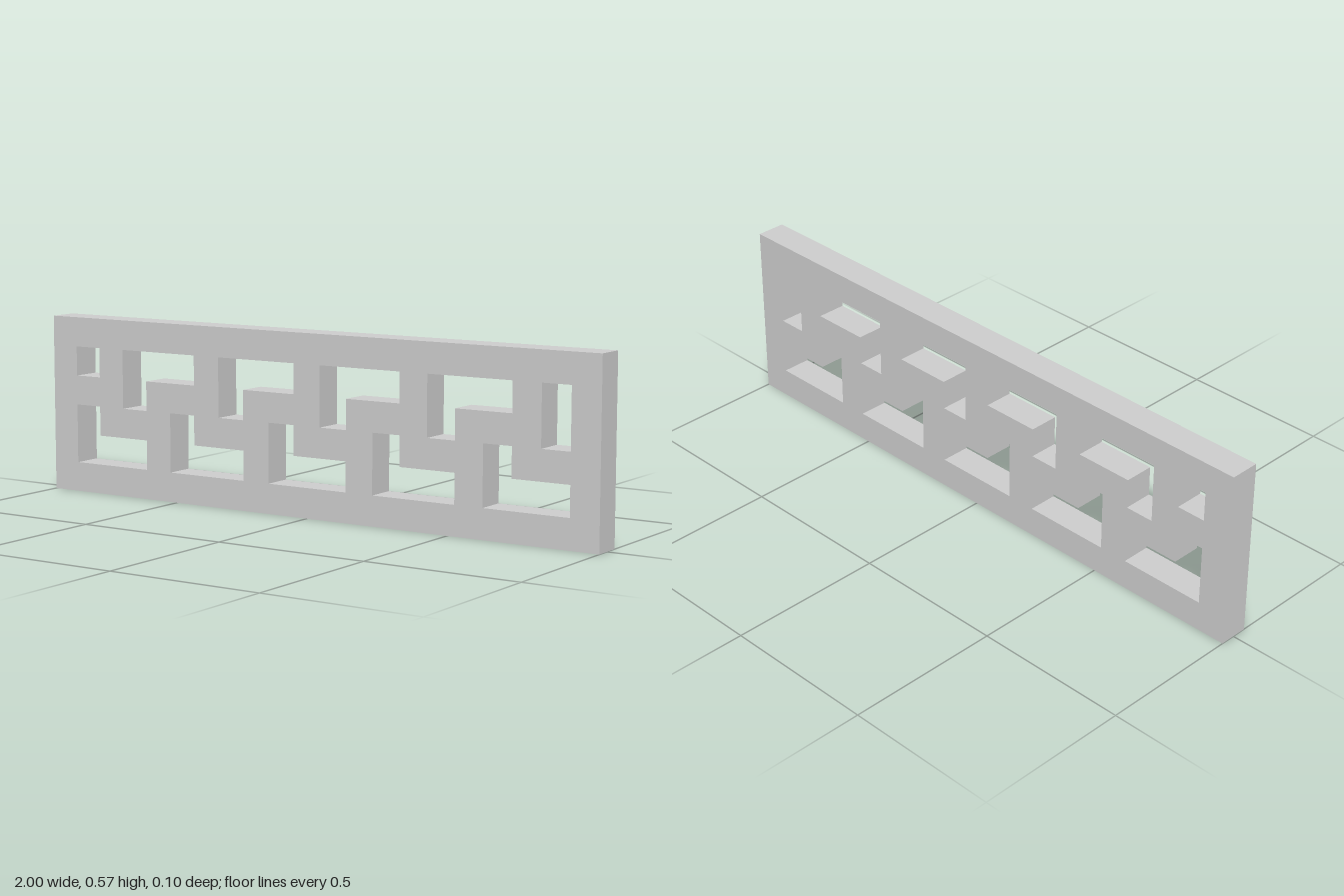
import * as THREE from 'three';

// The panel lies on a square lattice: 21 cells wide, 6 high, 1 deep
const COLS = 21, ROWS = 6, U = 2 / COLS;

function trace(path, points) {
  points.forEach(([c, r], i) => {
    const x = (c - COLS / 2) * U, y = r * U;
    if (i === 0) path.moveTo(x, y);
    else path.lineTo(x, y);
  });
  path.closePath();
  return path;
}

const rect = (x0, y0, x1, y1) => [[x0, y0], [x1, y0], [x1, y1], [x0, y1]];

export function createModel() {
  const group = new THREE.Group();
  group.name = 'fretworkPanel';

  // Outer frame
  const shape = trace(new THREE.Shape(), rect(0, 0, COLS, ROWS));
  const cut = (points) => shape.holes.push(trace(new THREE.Path(), points.reverse()));

  // Lower row of L-shaped openings, leg pointing up
  for (let c = 1; c <= 17; c += 4) {
    cut([[c, 1], [c + 3, 1], [c + 3, 2], [c + 1, 2], [c + 1, 3], [c, 3]]);
  }
  // Upper row of L-shaped openings, leg pointing down
  for (let c = 3; c <= 15; c += 4) {
    cut([[c, 3], [c + 1, 3], [c + 1, 4], [c + 3, 4], [c + 3, 5], [c, 5]]);
  }
  // Upper row cut short by the frame at both ends
  cut(rect(1, 4, 2, 5));
  cut(rect(19, 3, 20, 5));

  const geometry = new THREE.ExtrudeGeometry(shape, { depth: U, bevelEnabled: false });
  geometry.translate(0, 0, -U / 2);

  const panel = new THREE.Mesh(
    geometry,
    new THREE.MeshStandardMaterial({ color: 0xcccccc })
  );
  panel.name = 'piercedPanel';
  group.add(panel);
  return group;
}
